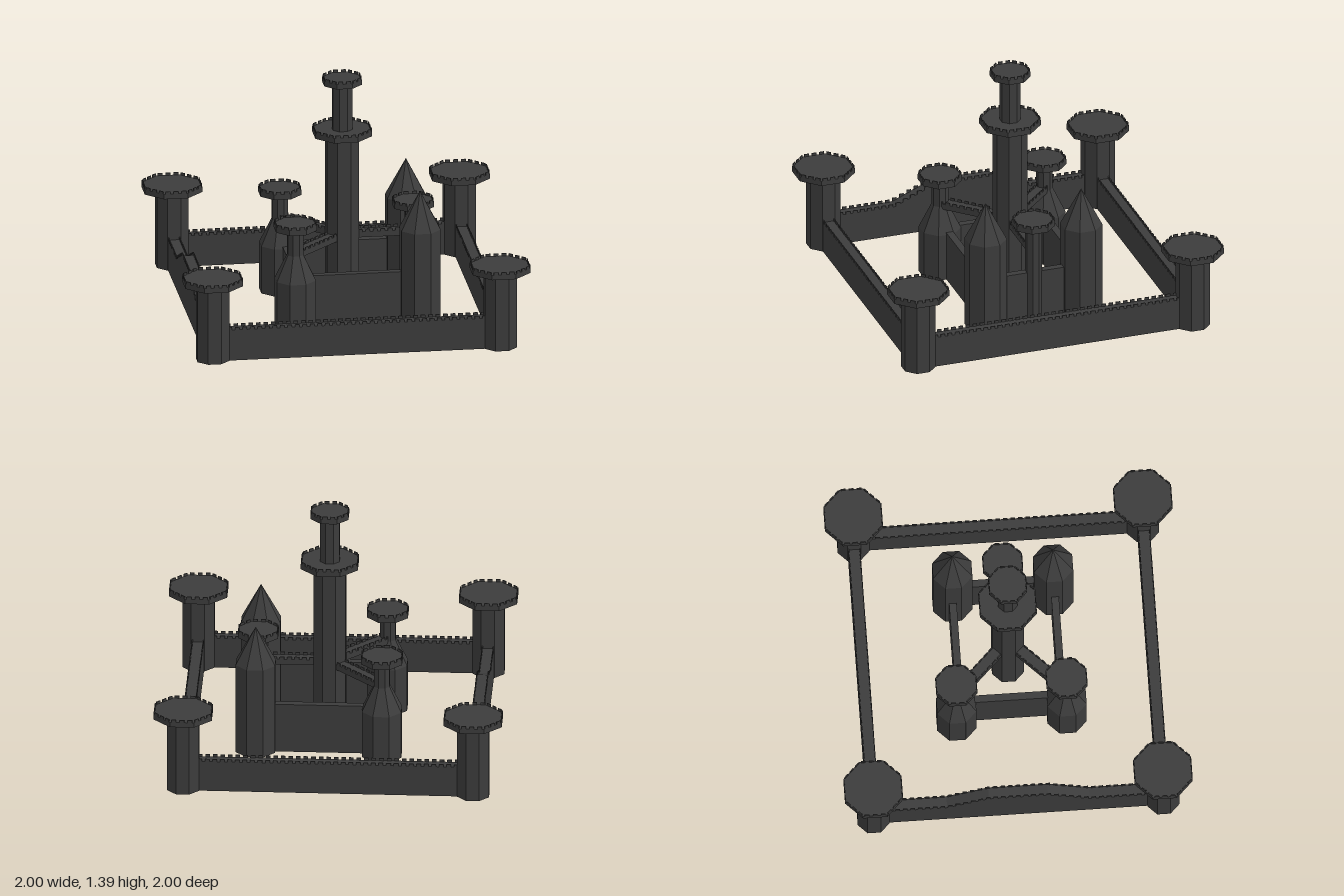
import * as THREE from 'three';
import { mergeGeometries } from 'three/addons/utils/BufferGeometryUtils.js';

const stone = new THREE.MeshStandardMaterial({ color: 0x3c3c3c, flatShading: true });
const FLAT = Math.cos(Math.PI / 8); // octagon: flat-to-centre over corner radius
const NOTCH = 0.015; // merlon height
const THIN = 0.006; // merlon thickness

function mesh(name, geometry) {
  const m = new THREE.Mesh(geometry, stone);
  m.name = name;
  return m;
}

// Eight-sided turned body, flats facing the axes; profile is [flat radius, y]
function octagonBody(name, profile) {
  const points = profile.map(([r, y]) => new THREE.Vector2(r / FLAT, y));
  return mesh(name, new THREE.LatheGeometry(points, 8, Math.PI / 8));
}

// Ring of merlons standing on the rim of an octagonal platform
function battlement(radius, top, perSide) {
  const side = 2 * radius * Math.tan(Math.PI / 8);
  const pitch = side / perSide;
  const parts = [];
  for (let k = 0; k < 8; k++) {
    for (let i = 0; i < perSide; i++) {
      const g = new THREE.BoxGeometry(pitch * 0.6, NOTCH, THIN);
      g.translate((i + 0.5) * pitch - side / 2, top - NOTCH / 2, radius - THIN / 2);
      g.rotateY((k * Math.PI) / 4);
      parts.push(g);
    }
  }
  return mesh('battlement', mergeGeometries(parts));
}

// Tower: turned body plus a battlement for each [radius, top, merlons per side]
function tower(name, x, z, profile, rims = []) {
  const g = new THREE.Group();
  g.name = name;
  g.add(octagonBody('towerBody', profile));
  for (const rim of rims) g.add(battlement(...rim));
  g.position.set(x, 0, z);
  return g;
}

// Height of a polyline of [s, y] points at distance s
function heightAt(line, s) {
  for (let i = 1; i < line.length; i++) {
    const [s0, y0] = line[i - 1];
    const [s1, y1] = line[i];
    if (s <= s1) return y0 + ((y1 - y0) * (s - s0)) / (s1 - s0);
  }
  return line[line.length - 1][1];
}

// Wall from a to b ([x, z]); its top follows an [s, y] line, optional merlons on both edges
function wall(name, a, b, bottom, top, width, merlons) {
  const dx = b[0] - a[0];
  const dz = b[1] - a[1];
  const length = Math.hypot(dx, dz);
  const line = Array.isArray(top) ? top : [[0, top], [length, top]];
  const g = new THREE.Group();
  g.name = name;

  const outline = [[0, bottom], [length, bottom], ...[...line].reverse()];
  const shape = new THREE.Shape(outline.map(([s, y]) => new THREE.Vector2(s, y)));
  const body = new THREE.ExtrudeGeometry(shape, { depth: width, bevelEnabled: false });
  body.translate(0, 0, -width / 2);
  g.add(mesh('wallBody', body));

  if (merlons) {
    const count = Math.round(length / 0.044);
    const pitch = length / count;
    const parts = [];
    for (let i = 0; i < count; i++) {
      const s = (i + 0.5) * pitch;
      for (const edge of [-1, 1]) {
        const m = new THREE.BoxGeometry(pitch * 0.6, NOTCH * 2, THIN);
        m.translate(s, heightAt(line, s), (edge * (width - THIN)) / 2);
        parts.push(m);
      }
    }
    g.add(mesh('merlons', mergeGeometries(parts)));
  }
  g.position.set(a[0], 0, a[1]);
  g.rotation.y = -Math.atan2(dz, dx);
  return g;
}

export function createModel() {
  const castle = new THREE.Group();
  castle.name = 'castle';

  // Outer corner towers
  const C = 0.833;
  for (const x of [-C, C]) {
    for (const z of [-C, C]) {
      castle.add(tower('cornerTower', x, z,
        [[0, 0], [0.092, 0], [0.092, 0.46], [0.167, 0.46], [0.167, 0.49], [0, 0.49]],
        [[0.167, 0.505, 3]]));
    }
  }

  // Outer walls; the right-hand one climbs over a raised middle
  const E = 0.76;
  const H = 0.185;
  const raised = [[0, H], [E - 0.41, H], [E - 0.17, 0.287], [E + 0.17, 0.287], [E + 0.41, H], [2 * E, H]];
  castle.add(
    wall('frontWall', [-E, C], [E, C], 0, H, 0.07, true),
    wall('backWall', [-E, -C], [E, -C], 0, H, 0.07, true),
    wall('leftWall', [C, -E], [C, E], 0, H, 0.07, true),
    wall('rightWall', [-C, -E], [-C, E], 0, raised, 0.07, true));

  // Keep with two platforms
  const K = 0.035;
  castle.add(tower('keep', K, 0,
    [[0, 0], [0.0925, 0], [0.0925, 1.042], [0.164, 1.042], [0.164, 1.073], [0.056, 1.073],
      [0.056, 1.35], [0.109, 1.35], [0.109, 1.38], [0, 1.38]],
    [[0.164, 1.088, 3], [0.109, 1.395, 2]]));

  // Inner towers and walls, mirrored front to back
  const R = 0.446;
  const B = -0.281;
  for (const s of [-1, 1]) {
    castle.add(
      tower('spireTower', R, s * 0.29, [[0, 0], [0.113, 0], [0.113, 0.55], [0, 0.775]]),
      tower('bottleTower', B, s * 0.317,
        [[0, 0], [0.113, 0], [0.113, 0.285], [0.045, 0.435], [0.045, 0.588],
          [0.118, 0.588], [0.118, 0.62], [0, 0.62]],
        [[0.118, 0.635, 2]]),
      wall('innerSideWall', [B, s * 0.294], [R, s * 0.294], 0, 0.298, 0.043, false),
      wall('diagonalBridge', [K, 0], [B, s * 0.317], 0.42, 0.453, 0.07, true));
  }
  castle.add(
    wall('innerRightWall', [-0.258, -0.3], [-0.258, 0.3], 0, 0.298, 0.043, false),
    wall('innerLeftWall', [R, -0.29], [R, 0.29], 0, 0.298, 0.043, false));

  // Slim tower and its bridge to the keep
  castle.add(
    tower('slimTower', R, 0,
      [[0, 0], [0.045, 0], [0.045, 0.588], [0.115, 0.588], [0.115, 0.62], [0, 0.62]],
      [[0.115, 0.635, 2]]),
    wall('straightBridge', [K + 0.08, 0], [R - 0.03, 0], 0.42, 0.453, 0.07, true));

  return castle;
}
